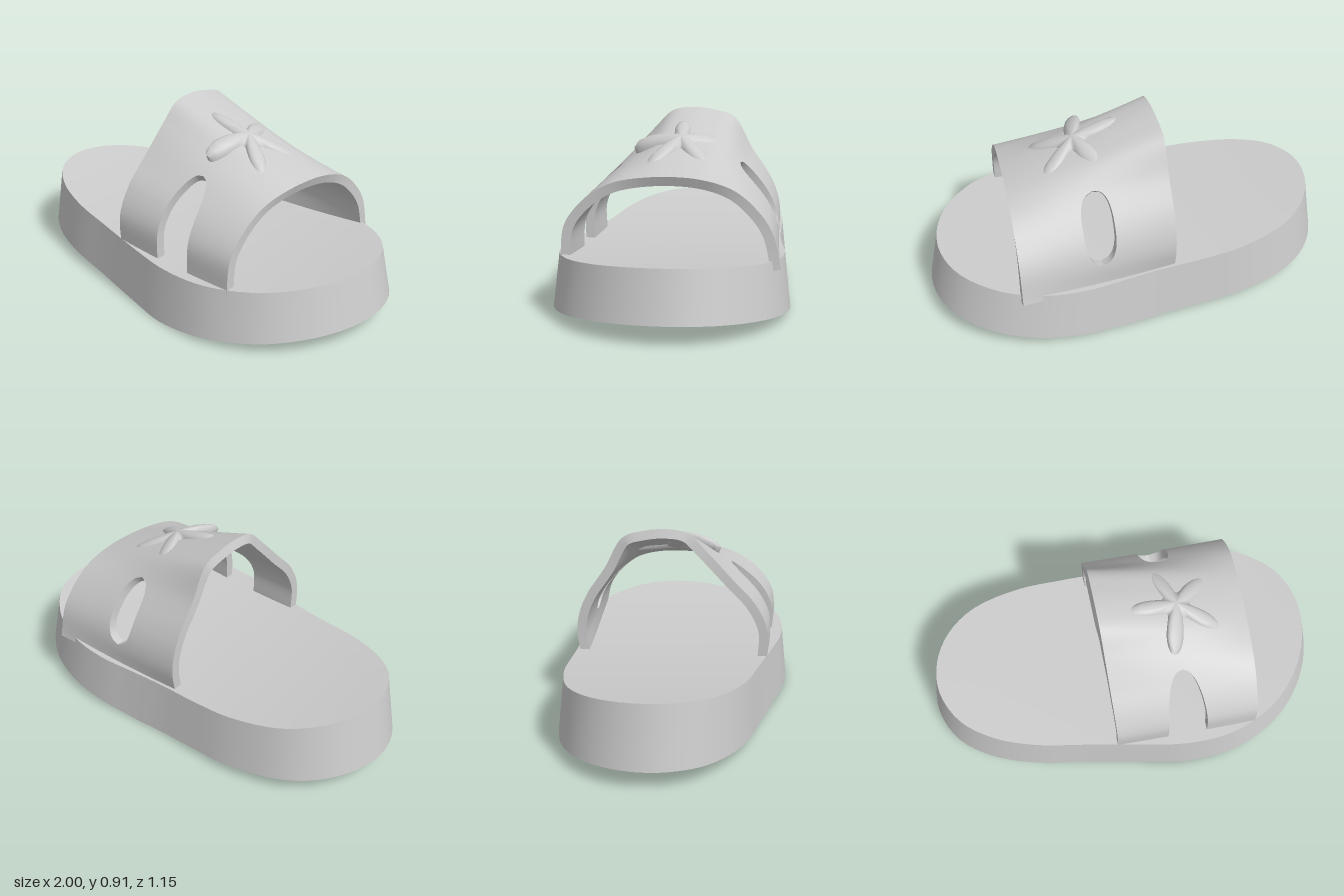
import * as THREE from 'three';
import { toCreasedNormals } from 'three/addons/utils/BufferGeometryUtils.js';

const grey = new THREE.MeshStandardMaterial({ color: 0xcccccc });
grey.name = 'grey';

// Skin a table of points; keep(i, j) may drop quads
function skin(rows, closed, crease, keep = () => true) {
  const pos = [];
  const put = (...pts) => pts.forEach((p) => pos.push(p.x, p.y, p.z));
  for (let i = 0; i < rows.length - 1; i++) {
    const n = rows[i].length;
    for (let j = 0; j < (closed ? n : n - 1); j++) {
      if (!keep(i, j)) continue;
      const k = (j + 1) % n;
      const a = rows[i][j], b = rows[i + 1][j], c = rows[i + 1][k], d = rows[i][k];
      put(a, b, c, a, c, d);
    }
  }
  const geo = new THREE.BufferGeometry();
  geo.setAttribute('position', new THREE.Float32BufferAttribute(pos, 3));
  return toCreasedNormals(geo, crease);
}

function part(name, geo) {
  const mesh = new THREE.Mesh(geo, grey);
  mesh.name = name;
  return mesh;
}

// Sole: foot outline swept through top, side wall and underside
function makeSole() {
  const outline = new THREE.CatmullRomCurve3([
    [-1, -0.1], [-0.97, -0.27], [-0.87, -0.42], [-0.7, -0.53], [-0.43, -0.575], [-0.2, -0.56],
    [0, -0.54], [0.2, -0.535], [0.4, -0.535], [0.6, -0.5], [0.8, -0.4], [0.95, -0.23],
    [1, -0.04], [0.97, 0.15], [0.87, 0.33], [0.7, 0.48], [0.5, 0.555], [0.35, 0.57],
    [0.15, 0.545], [-0.05, 0.485], [-0.35, 0.39], [-0.6, 0.315], [-0.8, 0.215], [-0.94, 0.08],
  ].map(([x, z]) => new THREE.Vector3(x, 0, z)), true);
  const topY = (x) => 0.275 + 0.081 * (x - 0.2) ** 2;
  const bottomY = (x) => {
    const d = x - 0.13;
    return 0.09 * (d < 0 ? (-d / 1.13) ** 1.25 : (d / 0.87) ** 1.2);
  };
  const profile = [];
  for (let k = 0; k <= 8; k++) profile.push([0.95 * k / 8, topY]);
  for (let k = 8; k >= 0; k--) profile.push([k / 8, bottomY]);
  const rows = [];
  for (let i = 0; i <= 96; i++) {
    const p = outline.getPoint((i % 96) / 96);
    rows.push(profile.map(([s, height]) => new THREE.Vector3(p.x * s, height(p.x * s), p.z * s)));
  }
  return part('sole', skin(rows, false, 0.7));
}

// Strap: a band ruled between a tall rear arch and a low front arch
function makeStrap() {
  const arch = (pts, xAt) => new THREE.CatmullRomCurve3(
    pts.map(([z, y]) => new THREE.Vector3(xAt(z), y, z)));
  const rear = arch([
    [0.42, 0.26], [0.42, 0.42], [0.36, 0.55], [0.25, 0.67], [0.12, 0.81], [0.03, 0.895],
    [-0.07, 0.912], [-0.18, 0.9], [-0.28, 0.865], [-0.37, 0.71], [-0.46, 0.575],
    [-0.5, 0.48], [-0.515, 0.38], [-0.5, 0.26],
  ], (z) => -0.13 - 0.12 * z);
  const front = arch([
    [0.52, 0.26], [0.5, 0.42], [0.42, 0.53], [0.3, 0.61], [0.14, 0.645], [-0.1, 0.645],
    [-0.26, 0.6], [-0.36, 0.52], [-0.43, 0.42], [-0.47, 0.26],
  ], (z) => 0.604 - 0.165 * z);
  const surface = (u, v) => rear.getPointAt(u).lerp(front.getPointAt(u), v);
  const inside = (u, v) => {
    const e = 0.01;
    const du = surface(Math.min(1, u + e), v).sub(surface(Math.max(0, u - e), v));
    const dv = surface(u, 1).sub(surface(u, 0));
    return surface(u, v).addScaledVector(du.cross(dv).normalize(), 0.045);
  };

  // Half width of the openings: an open notch on one side, a slot on the other
  const N = 120, n = 6;
  const gap = (u) => {
    if (u < 0.3) return 0.14 * Math.sqrt(Math.max(0, 1 - (u / 0.3) ** 3));
    const t = Math.abs(u - 0.8125) / 0.1125;
    return t < 1 ? 0.1 * (1 - t ** 3) ** 0.5 : 0;
  };
  const width = (i) => gap(i / N) < 0.002 ? 0 : gap(i / N);
  const group = new THREE.Group();
  group.name = 'strap';

  const rows = [];
  for (let i = 0; i <= N; i++) {
    const u = i / N, c = 0.507 - 0.03 * u, w = width(i);
    const vs = [];
    for (let k = n; k >= 0; k--) vs.push(THREE.MathUtils.lerp(c + w, 1, k / n));
    for (let k = n; k >= 0; k--) vs.push((c - w) * k / n);
    const outer = vs.map((v) => surface(u, v));
    const inner = vs.map((v) => inside(u, v)).reverse();
    rows.push([...outer, ...inner]);
  }
  // Both faces and outer edges, leaving the openings free
  const solid = (i) => width(i) === 0 && width(i + 1) === 0;
  const seamA = n, seamB = 3 * n + 2;
  group.add(part('strapBand', skin(rows, true, 0.8, (i, j) => j !== seamA && j !== seamB)));
  // Walls lining the openings
  const frontWall = rows.map((r) => [r[n], r[3 * n + 3]]);
  const rearWall = rows.map((r) => [r[3 * n + 2], r[n + 1]]);
  group.add(part('openingFrontWall', skin(frontWall, false, 0.8, (i) => !solid(i))));
  group.add(part('openingRearWall', skin(rearWall, false, 0.8, (i) => !solid(i))));
  return group;
}

// Starfish ornament: five rounded arms, domed and bent over the strap
function makeStarfish() {
  const profile = [[0, 0.04], [0.25, 0.037], [0.5, 0.031], [0.75, 0.022], [0.92, 0.01],
    [1, -0.012], [0.96, -0.04], [0, -0.05]];
  const rows = [];
  const M = 120;
  for (let i = 0; i <= M; i++) {
    const a = -(i % M) / M * Math.PI * 2;
    const lobe = Math.abs(Math.cos(2.5 * (a - THREE.MathUtils.degToRad(183))));
    const r = 0.075 + 0.165 * lobe ** 3;
    rows.push(profile.map(([s, h]) => {
      const dx = Math.cos(a) * r * s, z = -0.02 + Math.sin(a) * r * s;
      return new THREE.Vector3(0.26 + dx, 0.765 - 0.36 * dx - 0.8 * (z + 0.03) ** 2 + h, z);
    }));
  }
  // Rows run clockwise as seen from above
  return part('starfish', skin(rows.reverse().map((r) => r), false, 0.9));
}

export function createModel() {
  const model = new THREE.Group();
  model.name = 'sandal';
  model.add(makeSole(), makeStrap(), makeStarfish());
  return model;
}
